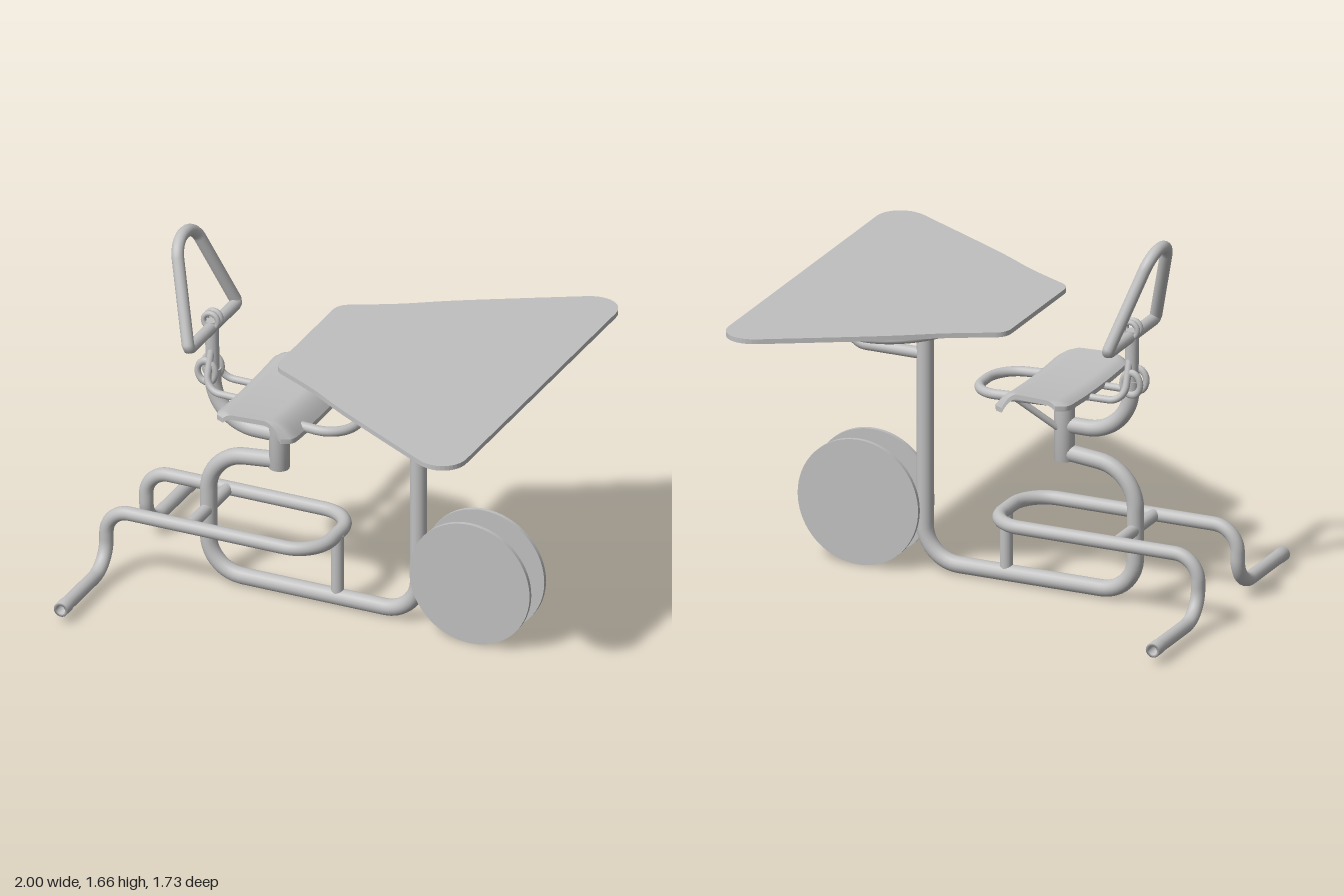
import * as THREE from 'three';

const V = (x, y, z = 0) => new THREE.Vector3(x, y, z);

// Polyline whose inner corners are rounded; a 4th number on a point sets its bend size
function bentPath(points, bend) {
  const p = points.map((a) => V(a[0], a[1], a[2] || 0));
  const path = new THREE.CurvePath();
  let at = p[0];
  for (let i = 1; i < p.length - 1; i++) {
    const size = points[i][3] ?? bend;
    const toPrev = p[i - 1].clone().sub(p[i]), toNext = p[i + 1].clone().sub(p[i]);
    const a = p[i].clone().addScaledVector(toPrev.normalize(), size);
    const b = p[i].clone().addScaledVector(toNext.normalize(), size);
    if (at.distanceTo(a) > 1e-4) path.add(new THREE.LineCurve3(at, a));
    path.add(new THREE.CubicBezierCurve3(a, a.clone().lerp(p[i], 0.55), b.clone().lerp(p[i], 0.55), b));
    at = b;
  }
  path.add(new THREE.LineCurve3(at, p[p.length - 1]));
  return path;
}

export function createModel() {
  const model = new THREE.Group();
  model.name = 'deskBike';
  const grey = new THREE.MeshStandardMaterial({ color: 0xc0c0c0 });
  grey.name = 'light grey';

  const add = (name, geometry, x = 0, y = 0, z = 0) => {
    const mesh = new THREE.Mesh(geometry, grey);
    mesh.name = name;
    mesh.position.set(x, y, z);
    model.add(mesh);
    return mesh;
  };
  // Tube along a curve, with flat end caps
  const tube = (name, curve, r, caps = true, segments = 110) => {
    const mesh = add(name, new THREE.TubeGeometry(curve, segments, r, 16));
    if (caps) for (const t of [0, 1]) {
      const cap = new THREE.Mesh(new THREE.CircleGeometry(r, 16), grey);
      const dir = curve.getTangentAt(t).multiplyScalar(t ? 1 : -1);
      cap.name = name + 'Cap';
      cap.position.copy(curve.getPointAt(t));
      cap.quaternion.setFromUnitVectors(V(0, 0, 1), dir);
      mesh.add(cap);
    }
    return mesh;
  };
  const pipe = (name, points, r, bend = 0.03, caps = true) => tube(name, bentPath(points, bend), r, caps);
  const bar = (name, a, b, r) => tube(name, new THREE.LineCurve3(V(...a), V(...b)), r, true, 1);

  // Main frame, a bent tube in the middle plane
  pipe('mainFrame', [[-0.24, 0.645], [-0.575, 0.61, 0, 0.17], [-0.575, 0.048], [0.42, 0.048], [0.42, 1.25]], 0.037, 0.16);

  // Seat post with a flared top
  add('seatPost', new THREE.LatheGeometry([[0, 0.61], [0.045, 0.61], [0.045, 0.84], [0.053, 0.885], [0.048, 0.893], [0, 0.893]]
    .map(([x, y]) => new THREE.Vector2(x, y)), 24), -0.24, 0, 0);

  // Backrest stem and loop
  pipe('backStem', [[-0.24, 0.77], [-0.55, 0.77], [-0.555, 1.02]], 0.036, 0.2);
  bar('backPost', [-0.555, 0.95, 0], [-0.56, 1.25, 0], 0.03);
  pipe('backrestLoop', [[-0.555, 1.222, 0], [-0.555, 1.222, 0.245], [-0.69, 1.642, 0.085, 0.075],
    [-0.69, 1.642, -0.085, 0.075], [-0.555, 1.222, -0.245], [-0.555, 1.222, 0]], 0.027, 0.02, false);

  // Clamps on the backrest post
  for (const s of [-1, 1]) {
    const ring = add('postClamp', new THREE.TorusGeometry(0.042, 0.014, 10, 24), -0.57, 1.015, 0.032 * s);
    ring.scale.y = 1.2;
    add('barClamp', new THREE.TorusGeometry(0.034, 0.012, 10, 24), -0.558, 1.255, 0.016 * s);
    // Thin rails from the post to the underside of the seat
    pipe('seatRail', [[-0.555, 1.13, 0.01 * s], [-0.555, 0.945, 0.075 * s, 0.07], [-0.1, 0.94, 0.08 * s]], 0.016);
    // Struts from the front of the seat down to the post
    bar('seatStrut', [-0.06, 0.93, 0.16 * s], [-0.23, 0.75, 0.02 * s], 0.015);
  }
  bar('rearSeatBar', [-0.38, 0.955, -0.2], [-0.38, 0.955, 0.2], 0.018);

  // Loop in front of the seat
  pipe('seatFrontLoop', [[-0.28, 0.93, 0.155], [0.138, 0.912, 0.155], [0.138, 0.912, -0.155], [-0.28, 0.93, -0.155]], 0.022, 0.13);

  // Seat: thin sheet with rounded corners, lifted sides and a rolled front lip
  const seat = new THREE.BoxGeometry(1, 0.022, 1, 32, 1, 32);
  const pos = seat.attributes.position;
  for (let i = 0; i < pos.count; i++) {
    const u = pos.getX(i) + 0.5, w = pos.getZ(i) * 2;
    const edge = Math.max(0, (Math.abs(w) - 0.8) / 0.2);
    const pull = 0.05 * (1 - Math.sqrt(1 - edge * edge));
    const x = -0.4 + pull + u * (0.362 - 2 * pull);
    const half = 0.335 - 0.022 * u;
    const lip = Math.max(0, (u - 0.7) / 0.3), back = Math.max(0, (0.15 - u) / 0.15);
    const y = 0.974 + 0.014 * w * w - 0.075 * lip * lip - 0.02 * back * back;
    pos.setXYZ(i, x, y + pos.getY(i), w * half);
  }
  seat.computeVertexNormals();
  add('seat', seat);

  // Footrest: U-shaped rail, with each end dropping to an outward peg
  const side = (s) => [[-0.965, 0.07, 0.64 * s], [-0.965, 0.07, 0.2 * s, 0.13], [-0.965, 0.343, 0.2 * s, 0.11], [0.03, 0.343, 0.2 * s, 0.15]];
  tube('footrestRail', bentPath([...side(1), ...side(-1).reverse()], 0.1), 0.031, false, 260);
  for (const s of [-1, 1]) {
    // Hollow peg end
    const sleeve = add('pegEnd', new THREE.LatheGeometry([[0.033, 0], [0.033, 0.06], [0.02, 0.06], [0.02, 0.02], [0, 0.02]]
      .map(([x, y]) => new THREE.Vector2(x, y)), 20), -0.965, 0.07, 0.6 * s);
    sleeve.rotation.x = s * Math.PI / 2;
  }
  bar('footrestCrossbar', [-0.575, 0.343, -0.2], [-0.575, 0.343, 0.2], 0.028);
  bar('footrestPost', [0.036, 0.05, 0], [0.036, 0.343, 0], 0.028);

  // Twin disc wheel on a spool hub, held by a short arm
  for (const s of [-1, 1]) {
    add('wheelDisc', new THREE.CylinderGeometry(0.285, 0.285, 0.018, 72), 0.7, 0.292, 0.074 * s).rotation.x = Math.PI / 2;
    add('hubFlange', new THREE.CylinderGeometry(0.055, 0.055, 0.02, 32), 0.7, 0.292, 0.055 * s).rotation.x = Math.PI / 2;
  }
  add('hub', new THREE.CylinderGeometry(0.04, 0.04, 0.14, 32), 0.7, 0.292, 0).rotation.x = Math.PI / 2;
  bar('wheelArm', [0.42, 0.292, 0], [0.7, 0.292, 0], 0.03);

  // Table top: rounded trapezoid, wide at the far end
  const half = [[-0.112, 0.27], [-0.1, 0.32], [0, 0.38], [0.14, 0.448], [0.35, 0.58], [0.82, 0.845], [0.9, 0.864], [0.965, 0.84], [0.995, 0.78]];
  const outline = new THREE.Shape();
  outline.moveTo(-0.112, -0.27);
  outline.lineTo(-0.112, 0.27);
  outline.quadraticCurveTo(-0.11, 0.315, -0.07, 0.337);
  outline.lineTo(0, 0.372);
  outline.splineThru(half.slice(3, 6).map((p) => new THREE.Vector2(...p)));
  outline.bezierCurveTo(0.91, 0.895, 1, 0.84, 1, 0.75);
  outline.lineTo(1, -0.75);
  outline.bezierCurveTo(1, -0.84, 0.91, -0.895, 0.82, -0.845);
  outline.splineThru([[0.35, -0.58], [0.14, -0.448], [0, -0.372]].map((p) => new THREE.Vector2(...p)));
  outline.lineTo(-0.07, -0.337);
  outline.quadraticCurveTo(-0.11, -0.315, -0.112, -0.27);
  const top = new THREE.ExtrudeGeometry(outline, { depth: 0.022, bevelEnabled: false, curveSegments: 12 });
  add('tableTop', top, 0, 1.274, 0).rotation.x = Math.PI / 2;

  // Oval ring and bracket under the table
  const oval = new THREE.CatmullRomCurve3(Array.from({ length: 24 }, (_, i) => {
    const a = i / 24 * Math.PI * 2;
    return V(0.455 + 0.355 * Math.cos(a), 1.234, 0.535 * Math.sin(a));
  }), true);
  add('tableRing', new THREE.TubeGeometry(oval, 96, 0.02, 12, true));
  pipe('tableBracket', [[0.42, 0.988], [0.776, 0.988], [0.776, 1.25]], 0.026, 0.08);

  return model;
}
